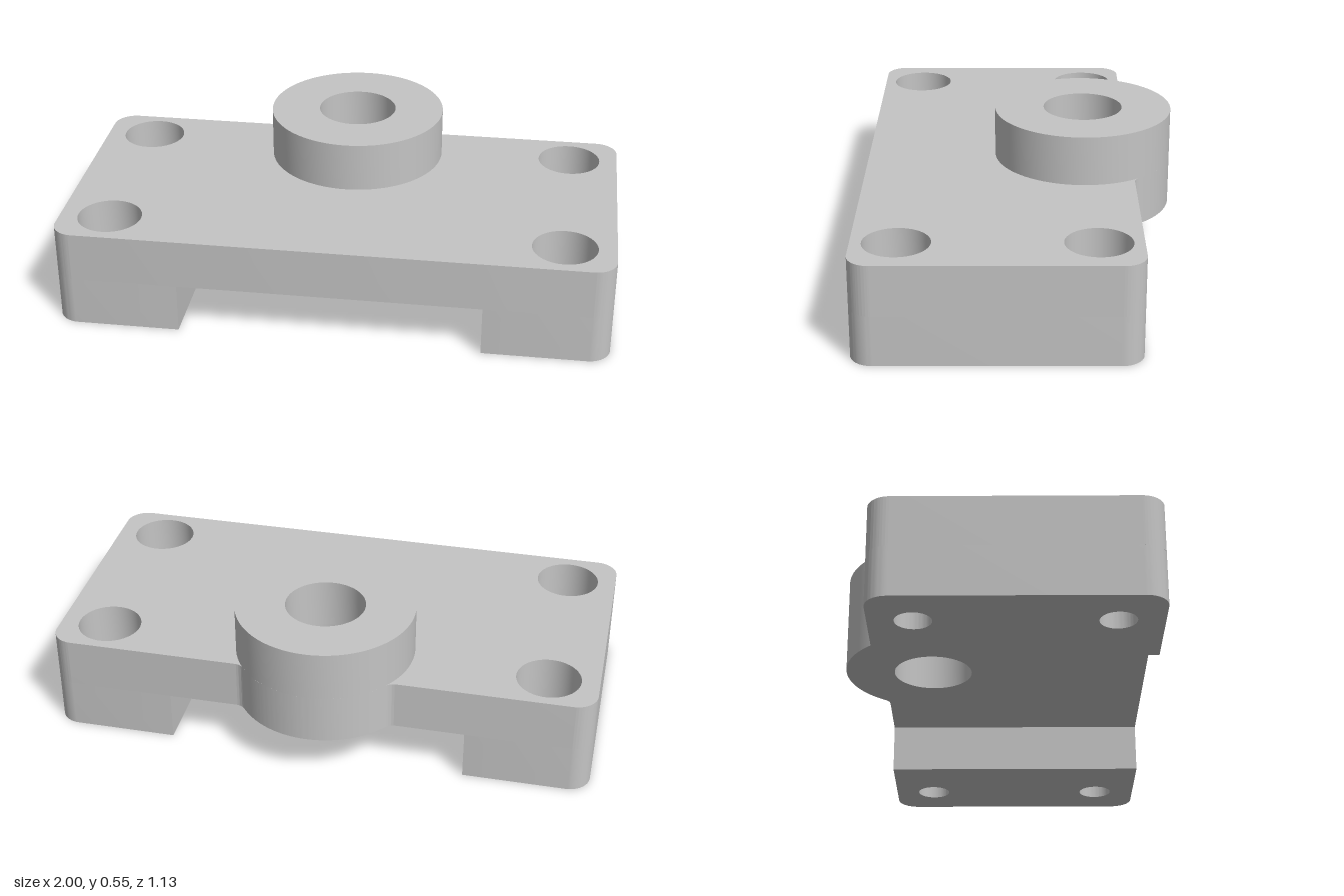
import * as THREE from 'three';
import { toCreasedNormals } from 'three/addons/utils/BufferGeometryUtils.js';

const BACK = 0.418, FRONT = -0.5636, CORNER = 0.08;   // plan coordinates: second axis points to the back
const SLOT_Y = 0.182, PLATE_Y = 0.364, BOSS_Y = 0.5465;
const BOSS_Z = 0.2365, BOSS_R = 0.327, BORE_R = 0.1455;
const HOLE_X = 0.818, HOLE_ZS = [0.265, -0.408], HOLE_R = 0.063, COUNTERBORE_R = 0.116;
const FOOT_INNER = 0.546;

// Points of a circle, without repeating the first one
function circle(x, y, r, n = 64) {
  return Array.from({ length: n }, (_, i) => {
    const a = (i / n) * Math.PI * 2;
    return new THREE.Vector2(x + r * Math.cos(a), y + r * Math.sin(a));
  });
}

function addHole(shape, x, y, r) {
  shape.holes.push(new THREE.Path(circle(x, y, r)));
}

// Extrude a plan shape upward between two heights
function slab(name, shape, y0, y1, material) {
  const extruded = new THREE.ExtrudeGeometry(shape, { depth: y1 - y0, bevelEnabled: false, curveSegments: 40 });
  extruded.rotateX(-Math.PI / 2).translate(0, y0, 0);
  const mesh = new THREE.Mesh(toCreasedNormals(extruded, 0.5), material);
  mesh.name = name;
  return mesh;
}

// Rounded plate whose back edge blends into the boss
function plateShape() {
  const s = new THREE.Shape(), c = CORNER, h = Math.PI / 2;
  const fillet = 0.045, dy = BACK + fillet - BOSS_Z;
  const fx = Math.sqrt((BOSS_R + fillet) ** 2 - dy * dy);
  const a = Math.atan2(dy, fx);
  s.moveTo(-1 + c, FRONT);
  s.absarc(1 - c, FRONT + c, c, -h, 0, false);
  s.absarc(1 - c, BACK - c, c, 0, h, false);
  s.absarc(fx, BACK + fillet, fillet, 3 * h, a + Math.PI, true);
  s.absarc(0, BOSS_Z, BOSS_R, a, Math.PI - a, false);
  s.absarc(-fx, BACK + fillet, fillet, -a, -h, true);
  s.absarc(-1 + c, BACK - c, c, h, Math.PI, false);
  s.absarc(-1 + c, FRONT + c, c, Math.PI, 3 * h, false);
  addHole(s, 0, BOSS_Z, BORE_R);
  for (const x of [-HOLE_X, HOLE_X]) for (const z of HOLE_ZS) addHole(s, x, z, COUNTERBORE_R);
  return s;
}

// Foot with two rounded outer corners and bolt holes; side is +1 or -1
function footShape(side) {
  const c = CORNER, points = [new THREE.Vector2(side * FOOT_INNER, FRONT)];
  const steps = 16;
  for (const [cy, start] of [[FRONT + c, -Math.PI / 2], [BACK - c, 0]]) {
    for (let i = 0; i <= steps; i++) {
      const a = start + (i / steps) * Math.PI / 2;
      points.push(new THREE.Vector2(side * (1 - c + c * Math.cos(a)), cy + c * Math.sin(a)));
    }
  }
  points.push(new THREE.Vector2(side * FOOT_INNER, BACK));
  const s = new THREE.Shape(points);
  for (const z of HOLE_ZS) addHole(s, side * HOLE_X, z, HOLE_R);
  return s;
}

export function createModel() {
  const group = new THREE.Group();
  group.name = 'mountingBracket';
  const metal = new THREE.MeshStandardMaterial({ color: 0xc4c4c4 });
  metal.name = 'grey metal';

  group.add(slab('plate', plateShape(), SLOT_Y, PLATE_Y, metal));
  group.add(slab('leftFoot', footShape(1), 0, SLOT_Y, metal));
  group.add(slab('rightFoot', footShape(-1), 0, SLOT_Y, metal));

  // Raised ring around the bore
  const ring = new THREE.Shape(circle(0, BOSS_Z, BOSS_R, 96));
  addHole(ring, 0, BOSS_Z, BORE_R);
  group.add(slab('boss', ring, PLATE_Y, BOSS_Y, metal));
  return group;
}
